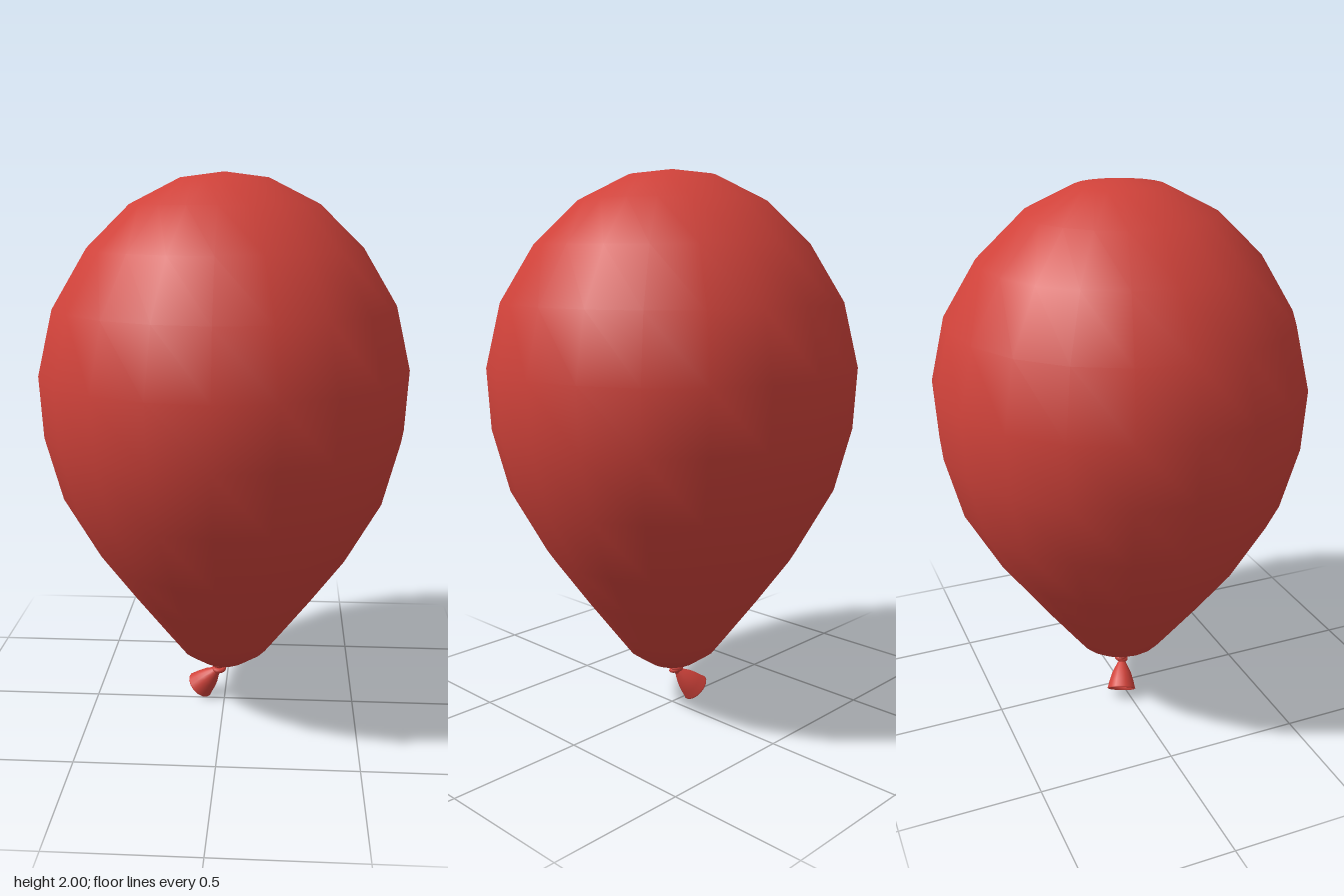
import * as THREE from 'three';

const toPoints = (list) => list.map(([x, y]) => new THREE.Vector2(x, y));

export function createModel() {
  const group = new THREE.Group();
  const red = new THREE.MeshStandardMaterial({ color: 0xd0423a, side: THREE.DoubleSide });
  red.name = 'red rubber';

  const add = (name, geometry) => {
    const mesh = new THREE.Mesh(geometry, red);
    mesh.name = name;
    group.add(mesh);
    return mesh;
  };

  // Inflated body, listed from the bottom up
  const body = new THREE.LatheGeometry(toPoints([
    [0, 0.155], [0.09, 0.173], [0.165, 0.225], [0.215, 0.29], [0.34, 0.455],
    [0.467, 0.63], [0.595, 0.86], [0.655, 1.09], [0.667, 1.31], [0.612, 1.54],
    [0.49, 1.74], [0.335, 1.89], [0.155, 1.98], [0, 2],
  ]), 20);
  // Level normals at both poles
  const normal = body.attributes.normal, position = body.attributes.position;
  for (let i = 0; i < position.count; i++) {
    if (Math.hypot(position.getX(i), position.getZ(i)) < 1e-4) {
      normal.setXYZ(i, 0, position.getY(i) > 1 ? 1 : -1, 0);
    }
  }
  add('balloonBody', body);

  // Pinched neck from the body through the knot to the mouth
  const neckPath = new THREE.CatmullRomCurve3([
    new THREE.Vector3(0, 0.165, 0),
    new THREE.Vector3(-0.016, 0.135, 0),
    new THREE.Vector3(-0.032, 0.108, -0.004),
  ]);
  add('neck', new THREE.TubeGeometry(neckPath, 8, 0.013, 10));

  // Knot: two crossing loops around the neck
  for (const [tiltX, tiltZ, y] of [[1.3, 0.45, 0.138], [1.85, -0.5, 0.125]]) {
    const loop = add('knotLoop', new THREE.TorusGeometry(0.018, 0.0095, 8, 16));
    loop.position.set(-0.02, y, -0.002);
    loop.rotation.set(tiltX, 0, tiltZ);
  }

  // Flared, hollow mouth hanging off to one side
  const mouth = add('mouth', new THREE.LatheGeometry(toPoints([
    [0.011, 0], [0.023, 0.022], [0.037, 0.05], [0.047, 0.08], [0.054, 0.108],
    [0.056, 0.112], [0.053, 0.114], [0.046, 0.104], [0.033, 0.055], [0.006, 0.01],
  ]).reverse(), 16));
  mouth.position.set(-0.027, 0.118, -0.002);
  mouth.quaternion.setFromUnitVectors(
    new THREE.Vector3(0, 1, 0),
    new THREE.Vector3(-0.066, -0.078, -0.029).normalize(),
  );

  return group;
}
